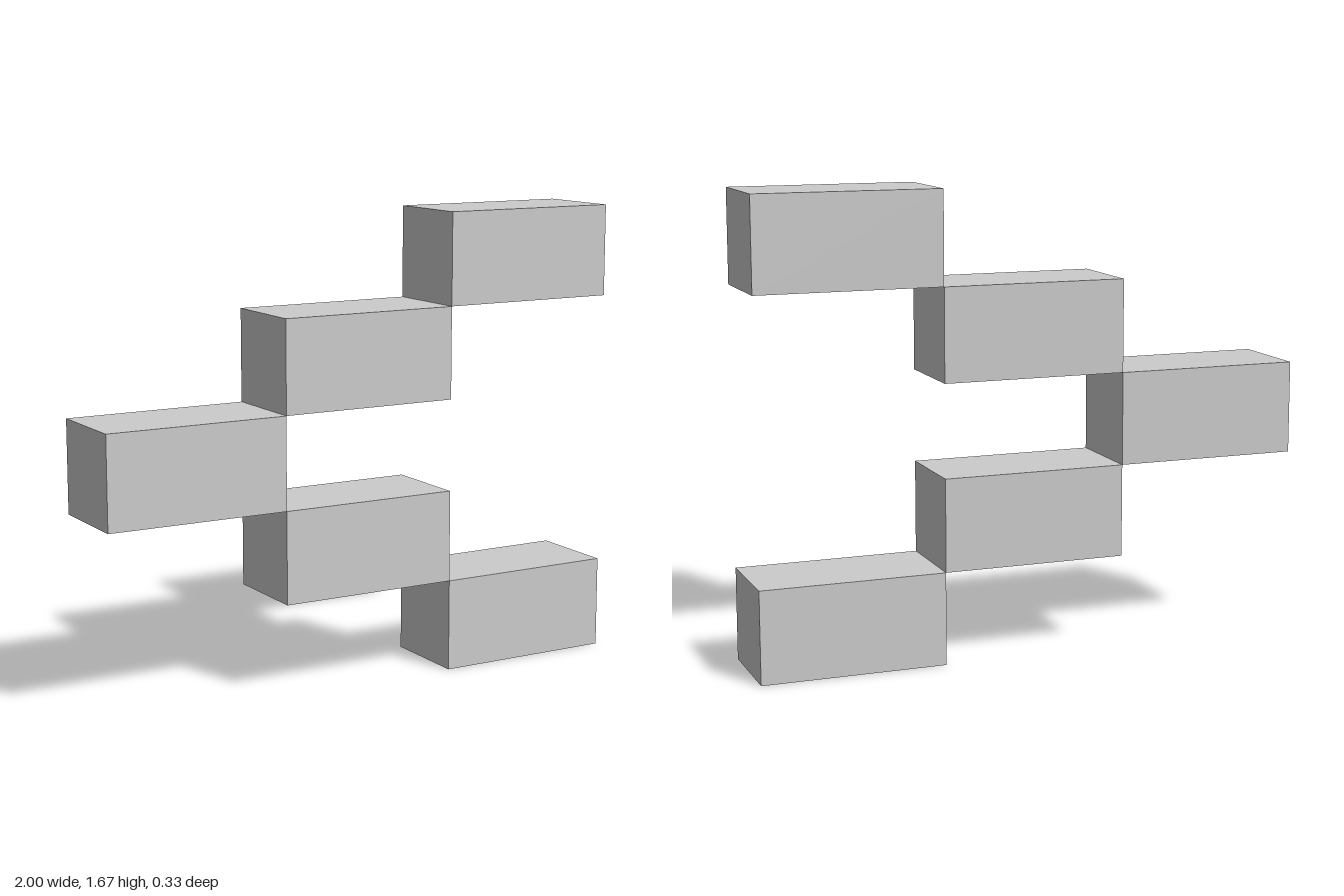
import * as THREE from 'three';

// Chevron of five equal blocks that meet edge to edge.
export function createModel() {
  const group = new THREE.Group();
  group.name = 'blockChevron';

  const H = 1 / 3; // block height and depth
  const L = 2 / 3; // block length
  const geometry = new THREE.BoxGeometry(L, H, H);
  const material = new THREE.MeshStandardMaterial({ color: 0xcccccc, flatShading: true });
  const names = ['bottomBlock', 'lowerMiddleBlock', 'tipBlock', 'upperMiddleBlock', 'topBlock'];

  // Blocks step towards the tip at -x, then back out again
  names.forEach((name, row) => {
    const block = new THREE.Mesh(geometry, material);
    block.name = name;
    block.position.set((Math.abs(row - 2) - 1) * L, (row + 0.5) * H, 0);
    group.add(block);
  });

  return group;
}
